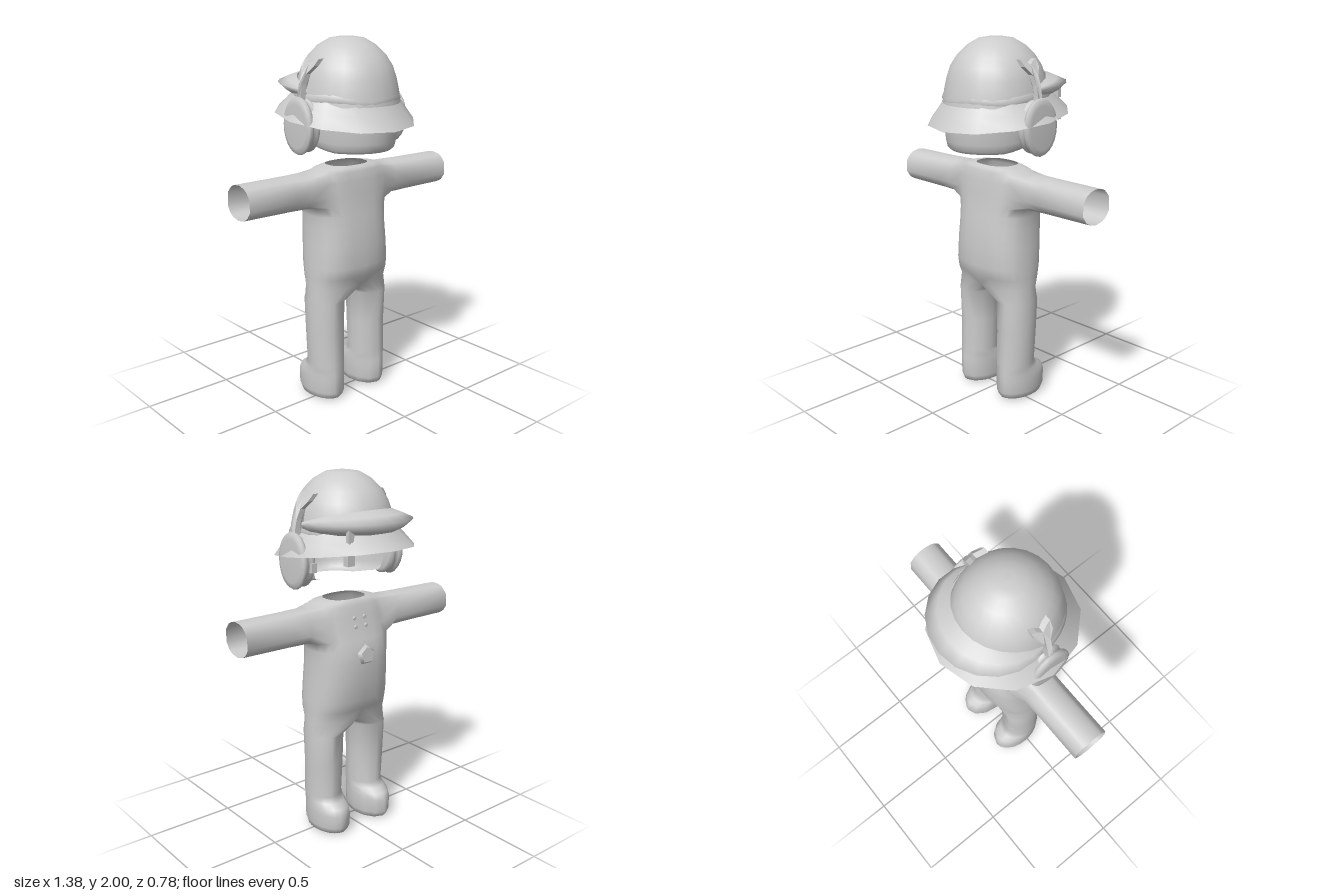
import * as THREE from 'three';
import { mergeVertices } from 'three/addons/utils/BufferGeometryUtils.js';

const { sin, cos, PI, abs, sign } = Math;
const cloth = new THREE.MeshStandardMaterial({ color: 0xcccccc, side: THREE.DoubleSide });
cloth.name = 'light grey';

function add(parent, name, geometry, x = 0, y = 0, z = 0) {
  const mesh = new THREE.Mesh(geometry, cloth);
  mesh.name = name;
  mesh.position.set(x, y, z);
  parent.add(mesh);
  return mesh;
}

function geometryFrom(pos, idx) {
  let g = new THREE.BufferGeometry();
  g.setAttribute('position', new THREE.Float32BufferAttribute(pos, 3));
  g.setIndex(idx);
  g = mergeVertices(g, 1e-4);
  g.computeVertexNormals();
  return g;
}

// Surface over u, v in 0..1, where fn returns [x, y, z]
function grid(nu, nv, fn) {
  const pos = [], idx = [];
  for (let j = 0; j <= nv; j++) for (let i = 0; i <= nu; i++) pos.push(...fn(i / nu, j / nv));
  for (let j = 0; j < nv; j++) for (let i = 0; i < nu; i++) {
    const a = j * (nu + 1) + i, d = a + nu + 1;
    idx.push(a, d, a + 1, d, d + 1, a + 1);
  }
  return geometryFrom(pos, idx);
}

// Piecewise linear lookup through equally spaced rows
function rowAt(rows, v) {
  const f = v * (rows.length - 1), k = Math.min(Math.floor(f), rows.length - 2);
  return rows[k].map((a, i) => a + (rows[k + 1][i] - a) * (f - k));
}

// Jointed suit: half a torso with leg and sleeve, then mirrored
function bodyGeometry() {
  const pos = [], idx = [];
  const vert = (x, y, z) => pos.push(x, y, z) / 3 - 1;
  const strip = (A, B, closed, skip) => {
    const n = A.length;
    for (let j = 0; j < (closed ? n : n - 1); j++) {
      if (skip && skip(j)) continue;
      const k = (j + 1) % n;
      idx.push(A[j], B[j], A[k], B[j], B[k], A[k]);
    }
  };
  // Torso rows: height, half width, z of the +z side, z of the -z side
  const torso = [
    [0.66, 0.25, 0.135, -0.125], [0.72, 0.25, 0.165, -0.15], [0.78, 0.247, 0.18, -0.17],
    [0.9, 0.24, 0.178, -0.183], [1.0, 0.236, 0.168, -0.185], [1.07, 0.24, 0.158, -0.178],
    [1.12, 0.25, 0.15, -0.16], [1.18, 0.26, 0.143, -0.14], [1.25, 0.26, 0.136, -0.12],
    [1.3, 0.245, 0.128, -0.105], [1.32, 0.19, 0.118, -0.092], [1.33, 0.12, 0.1, -0.08],
  ];
  const rows = torso.map(([y, w, f, b]) => Array.from({ length: 13 }, (_, j) => {
    const a = -PI / 2 + j * PI / 12, c = cos(a), s = sin(a);
    return vert(w * abs(c) ** 0.8, y, (f + b) / 2 + (f - b) / 2 * sign(s) * abs(s) ** 0.8);
  }));
  const lo = 6, hi = 9;
  for (let r = 0; r < rows.length - 1; r++)
    strip(rows[r], rows[r + 1], false, j => r >= lo && r < hi && j >= 3 && j < 9);

  // Sleeve grows out of the opening in the torso side
  let loop = [];
  for (let j = 3; j < 9; j++) loop.push(rows[lo][j]);
  for (let r = lo; r < hi; r++) loop.push(rows[r][9]);
  for (let j = 9; j > 3; j--) loop.push(rows[hi][j]);
  for (let r = hi; r > lo; r--) loop.push(rows[r][3]);
  const turns = loop.map(i => Math.atan2((pos[i * 3 + 1] - 1.212) / 0.09, pos[i * 3 + 2] / 0.105));
  for (const [x, ry] of [[0.3, 0.097], [0.4, 0.094], [0.69, 0.092]]) {
    const ring = turns.map(t => vert(x, 1.212 + ry * sin(t), 0.105 * cos(t)));
    strip(loop, ring, true);
    loop = ring;
  }

  // Leg and shoe rows: height, half width, z of the +z side, z of the -z side
  const leg = [
    [0, 0.07, 0.09, -0.14], [0.012, 0.093, 0.115, -0.168], [0.045, 0.102, 0.128, -0.185],
    [0.12, 0.104, 0.13, -0.186], [0.155, 0.102, 0.128, -0.17], [0.18, 0.1, 0.126, -0.13],
    [0.21, 0.1, 0.124, -0.1], [0.4, 0.104, 0.118, -0.11], [0.58, 0.108, 0.125, -0.118],
  ];
  const rings = leg.map(([y, w, f, b]) => Array.from({ length: 18 }, (_, m) => {
    const a = m <= 12 ? -PI / 2 + m * PI / 12 : PI / 2 + (m - 12) * PI / 6;
    return vert(0.149 + w * cos(a), y, (f + b) / 2 + (f - b) / 2 * sin(a));
  }));
  const crotch = [0.09, 0.045, 0, -0.045, -0.09].map(z => vert(0, 0.625, z));
  rings.push([...rows[0], ...crotch]);
  for (let r = 0; r < rings.length - 1; r++) strip(rings[r], rings[r + 1], true);
  const sole = vert(0.149, 0, -0.025);
  rings[0].forEach((v, m) => idx.push(sole, v, rings[0][(m + 1) % 18]));

  // Mirror to the other side
  const n = pos.length / 3;
  const both = pos.concat(pos.map((p, i) => (i % 3 ? p : -p)));
  const flipped = [];
  for (let i = 0; i < idx.length; i += 3) flipped.push(idx[i] + n, idx[i + 2] + n, idx[i + 1] + n);
  return geometryFrom(both, idx.concat(flipped));
}

function lathe(points, segments) {
  return new THREE.LatheGeometry(points.map(p => new THREE.Vector2(...p)), segments);
}

// Ear defender with its forked holder, on the +x side
function earDefender(name, side) {
  const g = new THREE.Group();
  g.name = name;
  g.scale.x = side;
  const cup = add(g, 'earCup', lathe([[0, 0.345], [0.75, 0.345], [0.95, 0.337], [1, 0.325],
    [0.95, 0.31], [0.86, 0.3], [0.93, 0.288], [0.93, 0.268], [0.8, 0.255], [0.5, 0.255]].reverse(), 24),
  0, 1.56, 0.017);
  cup.geometry.scale(0.15, 1, 0.115).rotateZ(-PI / 2);
  // Fork outline in z and y, bent inward towards the top
  const half = [[0.016, 1.66], [0.014, 1.72], [0.014, 1.77], [0.018, 1.82], [0.05, 1.86], [0.055, 1.895]];
  const outline = [...half, [0.025, 1.885], [0, 1.87], [-0.025, 1.885],
    ...half.map(([z, y]) => [-z, y]).reverse()];
  const fork = new THREE.ExtrudeGeometry(new THREE.Shape(outline.map(p => new THREE.Vector2(...p))),
    { depth: 0.03, bevelEnabled: false });
  fork.rotateY(PI / 2);
  const p = fork.attributes.position;
  for (let i = 0; i < p.count; i++) {
    const t = Math.max(0, p.getY(i) - 1.7);
    p.setX(i, p.getX(i) + 0.29 - 2.3 * t * t);
  }
  fork.computeVertexNormals();
  add(g, 'forkedHolder', fork, 0, 0, 0.018);
  return g;
}

export function createModel() {
  const model = new THREE.Group();
  add(model, 'suit', bodyGeometry());

  // Chest badge and buttons
  const badge = add(model, 'chestBadge', new THREE.CylinderGeometry(0.045, 0.058, 0.018, 5), 0, 1.04, -0.188);
  badge.rotation.x = -PI / 2 + 0.1;
  for (const x of [-0.035, 0.035]) for (const y of [1.19, 1.235]) {
    const stud = add(model, 'collarStud', new THREE.CylinderGeometry(0.01, 0.012, 0.012, 6), x, y, y > 1.2 ? -0.125 : -0.138);
    stud.rotation.x = -PI / 2;
  }

  const helmet = new THREE.Group();
  helmet.name = 'helmet';
  model.add(helmet);

  // Crown
  const crown = lathe([[0.278, 1.66], [0.27, 1.72], [0.255, 1.79], [0.235, 1.85], [0.2, 1.905],
    [0.15, 1.955], [0.09, 1.99], [0.04, 1.998], [0, 2]], 24);
  crown.scale(1, 1, 1.04);
  add(helmet, 'crown', crown, 0, 0, 0.018);

  // Twelve sided sloping brim, lower at +z
  add(helmet, 'brim', grid(12, 2, (u, v) => {
    const a = u * PI * 2, r = 0.382 - 0.1 * v;
    const x = r * sin(a) * (1 - 0.03 * (1 - v)), z = r * cos(a) * 1.02;
    return [x, 1.585 + 0.115 * v - (0.115 - 0.05 * v) * z, z];
  }));

  // Band round the crown, with a slight wave
  add(helmet, 'band', grid(32, 2, (u, v) => {
    const a = u * PI * 2, r = 0.285 - 0.012 * abs(v * 2 - 1);
    return [r * sin(a), 1.675 + v * 0.05 + 0.006 * sin(a * 5) - 0.06 * r * cos(a), 0.01 + r * cos(a) * 1.04];
  }));

  // Raised goggles over the brow on the -z side
  const lens = [[0.245, 1.82], [0.32, 1.795], [0.385, 1.768], [0.33, 1.72], [0.27, 1.69]];
  add(helmet, 'goggles', grid(12, 4, (u, v) => {
    const a = (u - 0.5) * PI * 1.05, [r, y] = rowAt(lens, v);
    const reach = Math.max(0, cos(a)) ** 0.7, s = 0.28 + (r - 0.28) * reach;
    return [s * sin(a) * 0.98, 1.725 + (y - 1.725) * (0.25 + 0.75 * reach), -s * cos(a)];
  }));

  // Nape guard under the brim on the +z side
  const guard = [[1.62, 1], [1.55, 1], [1.47, 0.97], [1.435, 0.94], [1.42, 0.88], [1.42, 0.76]];
  add(helmet, 'napeGuard', grid(20, 5, (u, v) => {
    const a = -0.2 + u * (PI + 0.4), [y, k] = rowAt(guard, v);
    const lift = 0.05 * Math.max(0, 0.45 - sin(a)) * (1.62 - y) / 0.2;
    return [0.245 * k * cos(a), y + lift, 0.02 + 0.295 * k * sin(a)];
  }));

  // Small hanging clip and microphone
  add(helmet, 'clipUpper', new THREE.BoxGeometry(0.035, 0.08, 0.022), 0.18, 1.715, -0.262);
  add(helmet, 'clipStem', new THREE.BoxGeometry(0.016, 0.1, 0.014), 0.18, 1.64, -0.262);
  add(helmet, 'clipLower', new THREE.BoxGeometry(0.045, 0.065, 0.035), 0.18, 1.59, -0.255);
  add(helmet, 'microphone', new THREE.BoxGeometry(0.03, 0.05, 0.025), 0.28, 1.535, -0.09);

  helmet.add(earDefender('leftEarDefender', 1), earDefender('rightEarDefender', -1));
  return model;
}
